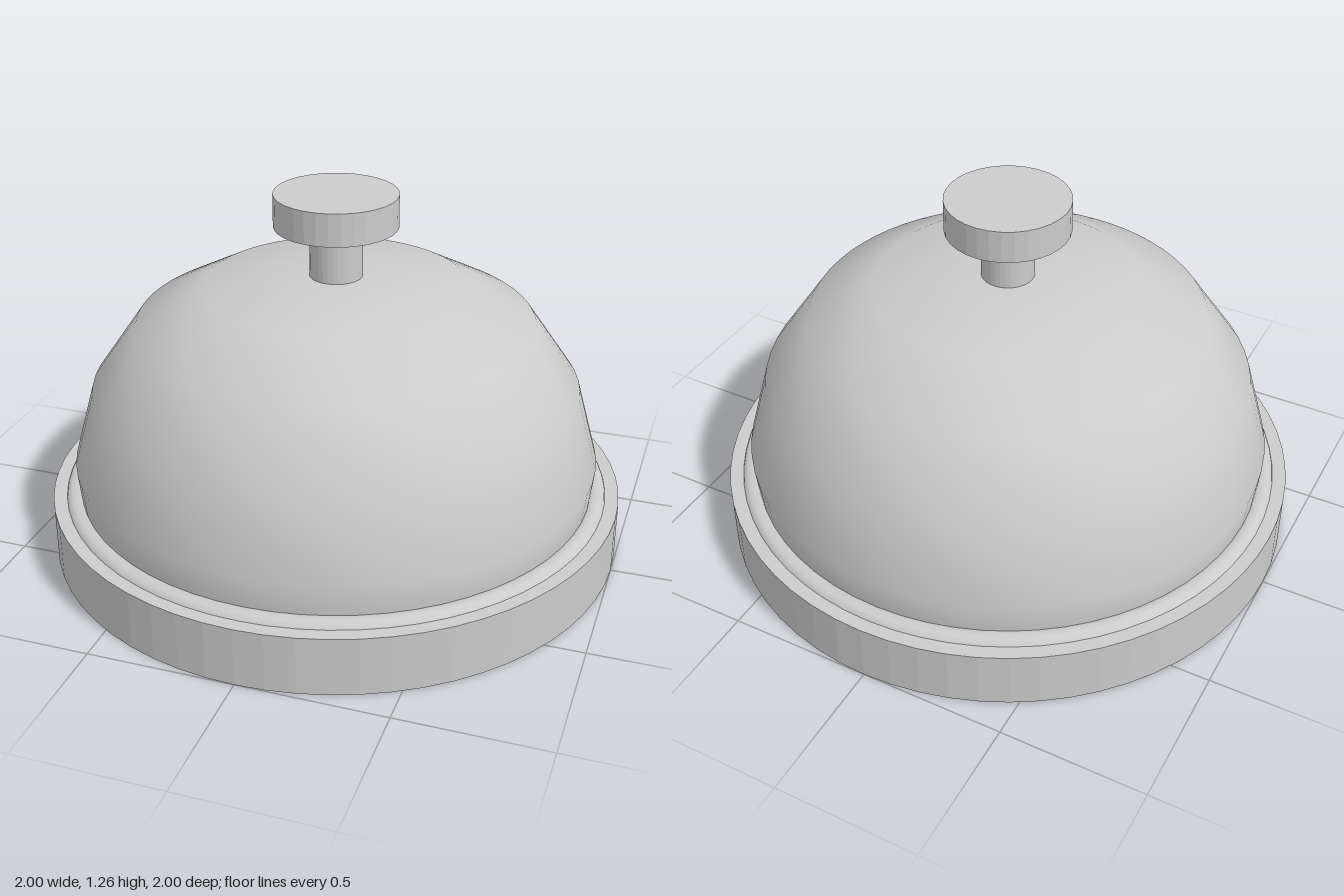
import * as THREE from 'three';

export function createModel() {
  const group = new THREE.Group();
  const metal = new THREE.MeshStandardMaterial({ color: 0xcccccc });
  metal.name = 'light grey metal';

  const add = (name, geometry, y = 0) => {
    const mesh = new THREE.Mesh(geometry, metal);
    mesh.name = name;
    mesh.position.y = y;
    group.add(mesh);
  };

  // Faceted upright disc standing on height y
  const disc = (name, radius, y, height, sides) => {
    const geometry = new THREE.CylinderGeometry(radius, radius, height, sides).toNonIndexed();
    geometry.computeVertexNormals();
    add(name, geometry, y + height / 2);
  };

  // Smooth surface of revolution, profile listed from bottom to top
  const turned = (name, profile) =>
    add(name, new THREE.LatheGeometry(profile.map(([r, y]) => new THREE.Vector2(r, y)), 64));

  // Base plate and the rounded trim on it
  disc('base', 1, 0, 0.205, 64);
  turned('trimRing', [
    [0.955, 0.2], [0.95, 0.213], [0.935, 0.222], [0.915, 0.225], [0.89, 0.22], [0.88, 0.2],
  ]);

  // Bell dome with a few broad rings
  turned('dome', [
    [0.9, 0.2], [0.913, 0.33], [0.84, 0.59], [0.68, 0.82], [0.45, 0.943], [0.18, 0.973], [0, 0.975],
  ]);

  // Push button
  disc('buttonStem', 0.09, 0.95, 0.21, 32);
  disc('buttonCap', 0.21, 1.15, 0.113, 32);

  return group;
}
